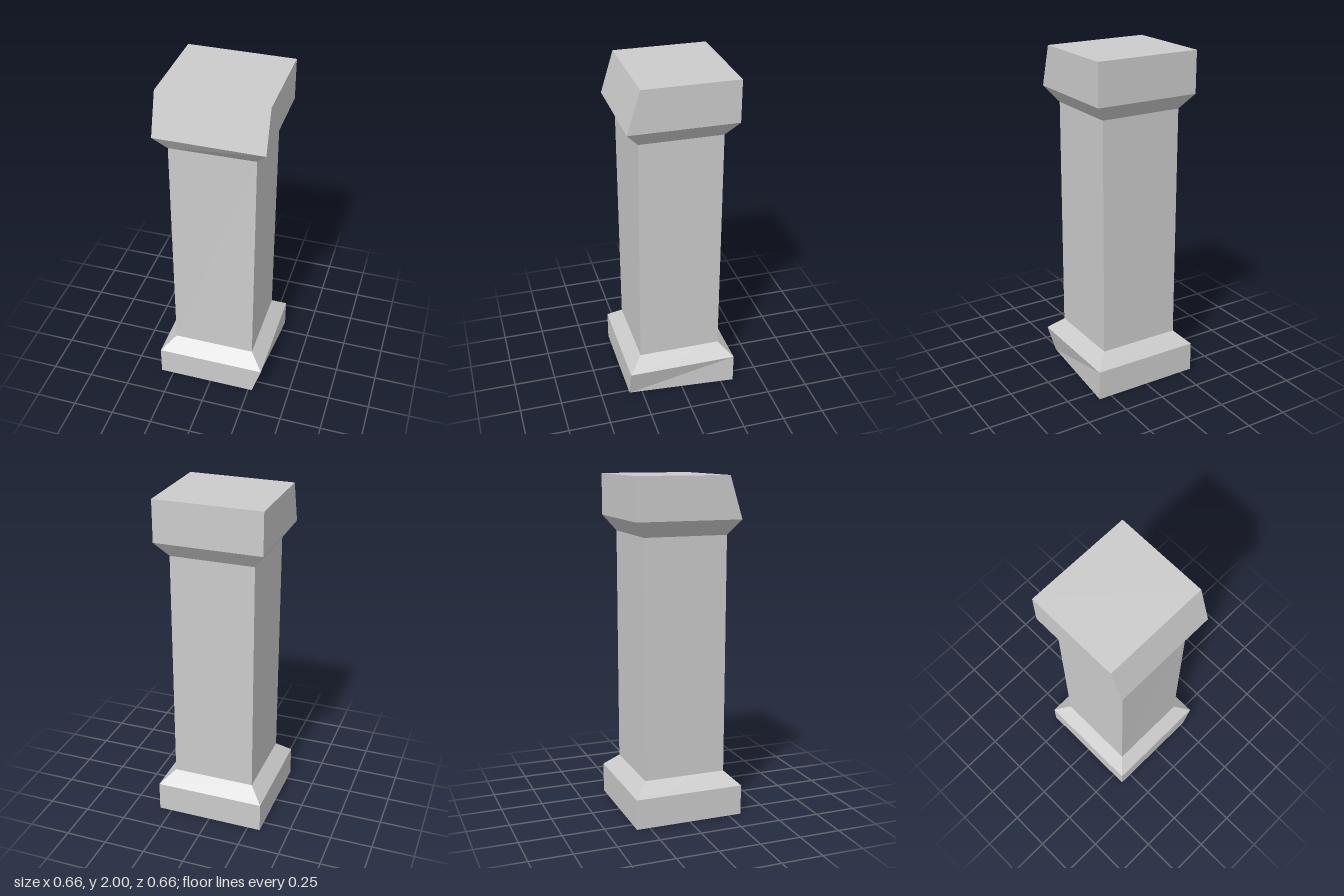
import * as THREE from 'three';

// Square ring of corners: front left, back left, back right, front right (model's own sides)
function ring(y, h, frontZ = [h, h], frontLeftX = h) {
  return [[frontLeftX, y, frontZ[0]], [h, y, -h], [-h, y, -h], [-h, y, frontZ[1]]];
}

// Flat-shaded skin over successive rings, optionally closed at either end
function loft(name, rings, closeBottom, closeTop, material) {
  const pos = [];
  const quad = (a, b, c, d) => pos.push(...a, ...b, ...c, ...a, ...c, ...d);
  for (let r = 0; r < rings.length - 1; r++) {
    const lo = rings[r], hi = rings[r + 1];
    for (let i = 0; i < 4; i++) {
      const j = (i + 1) % 4;
      quad(lo[i], lo[j], hi[j], hi[i]);
    }
  }
  if (closeBottom) quad(...[...rings[0]].reverse());
  if (closeTop) quad(...rings[rings.length - 1]);
  const geometry = new THREE.BufferGeometry();
  geometry.setAttribute('position', new THREE.Float32BufferAttribute(pos, 3));
  geometry.computeVertexNormals();
  const mesh = new THREE.Mesh(geometry, material);
  mesh.name = name;
  return mesh;
}

export function createModel() {
  const stone = new THREE.MeshStandardMaterial({ color: 0xcccccc, flatShading: true });
  const group = new THREE.Group();
  group.name = 'pillar';

  const shaftFoot = ring(0.257, 0.247);
  const shaftHead = ring(1.665, 0.247, [0.24, 0.251]); // slightly skewed front

  // Plinth with one chipped-in lower corner and a sloped shoulder
  const plinth = [ring(0, 0.328, [0.328, 0.328], 0.272), ring(0.18, 0.328), shaftFoot];
  // Capital flares out, then its front leans back
  const capital = [shaftHead, ring(1.755, 0.314), ring(2, 0.314, [0.238, 0.238])];

  group.add(
    loft('plinth', plinth, true, false, stone),
    loft('shaft', [shaftFoot, shaftHead], false, false, stone),
    loft('capital', capital, false, true, stone)
  );
  return group;
}
